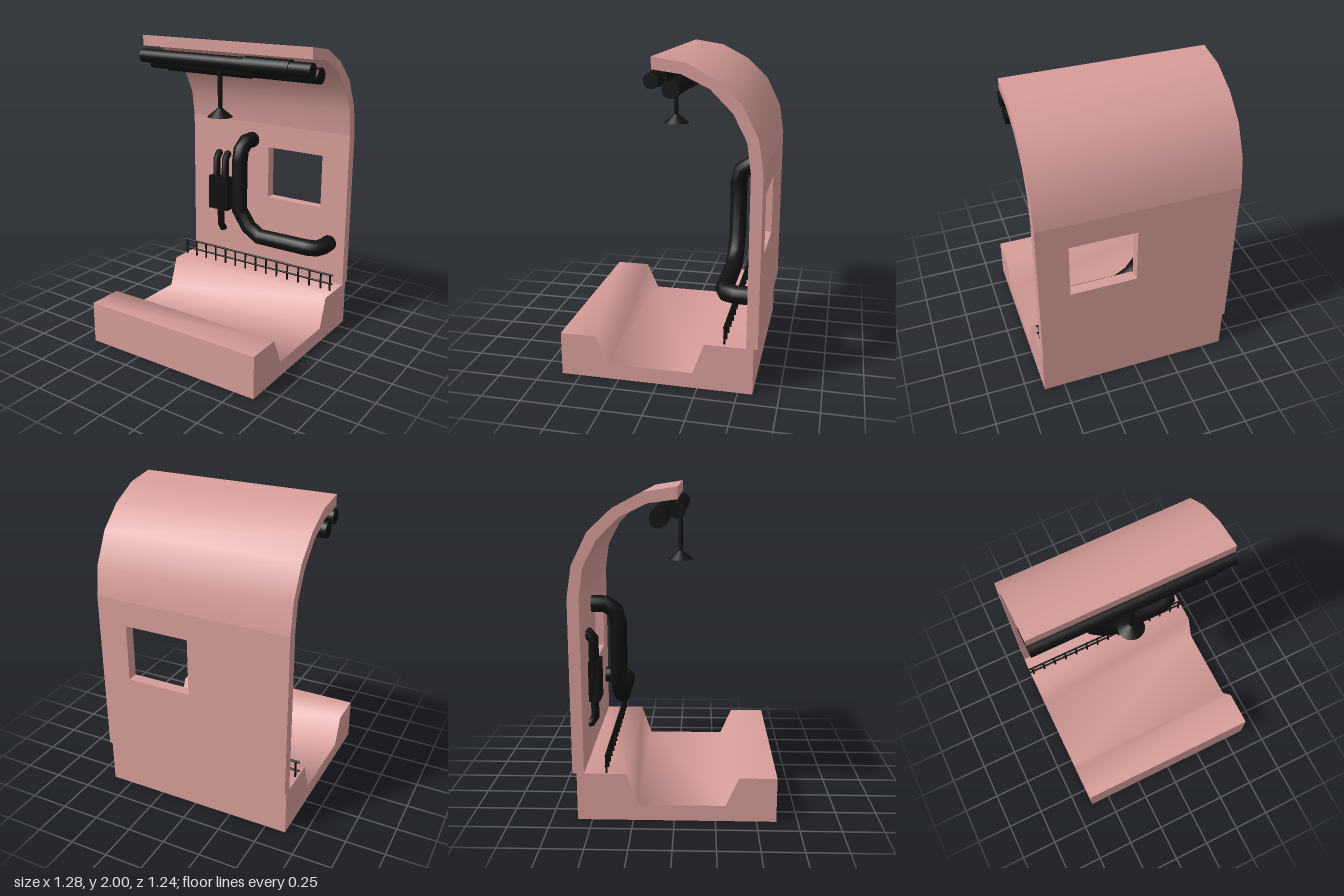
import * as THREE from 'three';
import { toCreasedNormals } from 'three/addons/utils/BufferGeometryUtils.js';

const pink = new THREE.MeshStandardMaterial({ color: 0xd69c98 });
const black = new THREE.MeshStandardMaterial({ color: 0x111111 });
const WIDTH = 1.27;

// Path with one tube ring per listed point, so bends stay faceted
class BendPath extends THREE.Curve {
  constructor(points) {
    super();
    this.points = points.map((p) => new THREE.Vector3(...p));
  }
  getPoint(t, target = new THREE.Vector3()) {
    const n = this.points.length - 1;
    const i = Math.min(Math.floor(t * n + 1e-6), n - 1);
    return target.lerpVectors(this.points[i], this.points[i + 1], t * n - i);
  }
  getPointAt(t, target) {
    return this.getPoint(t, target);
  }
  getTangentAt(t, target = new THREE.Vector3()) {
    const p = this.points, n = p.length - 1;
    const i = Math.round(t * n);
    target.set(0, 0, 0);
    if (i > 0) target.add(p[i].clone().sub(p[i - 1]).normalize());
    if (i < n) target.add(p[i + 1].clone().sub(p[i]).normalize());
    return target.normalize();
  }
}

export function createModel() {
  const model = new THREE.Group();

  function add(name, geometry, material, x = 0, y = 0, z = 0, parent = model) {
    const mesh = new THREE.Mesh(geometry, material);
    mesh.name = name;
    mesh.position.set(x, y, z);
    parent.add(mesh);
    return mesh;
  }

  // Extrude a (z, y) profile across the full width
  function acrossWidth(profile, crease) {
    const shape = new THREE.Shape(profile.map(([z, y]) => new THREE.Vector2(z, y)));
    const g = new THREE.ExtrudeGeometry(shape, { depth: WIDTH, bevelEnabled: false });
    g.translate(0, 0, -WIDTH / 2).rotateY(-Math.PI / 2);
    return toCreasedNormals(g, crease);
  }

  const tube = (name, points, radius, parent) =>
    add(name, new THREE.TubeGeometry(new BendPath(points), points.length - 1, radius, 16), black, 0, 0, 0, parent);

  const bar = (name, radius, length, x, y, z, parent) =>
    add(name, new THREE.CylinderGeometry(radius, radius, length, 24).rotateZ(Math.PI / 2), black, x, y, z, parent);

  // Floor with a sunken channel
  add('base', acrossWidth([
    [-0.59, 0], [0.62, 0], [0.62, 0.28], [0.39, 0.28], [0.31, 0.1],
    [-0.22, 0.1], [-0.29, 0.3], [-0.59, 0.3],
  ], 1.3), pink);

  // Upright wall with a window opening
  const wall = new THREE.Shape();
  wall.moveTo(-WIDTH / 2, 0.3).lineTo(WIDTH / 2, 0.3).lineTo(WIDTH / 2, 1.37).lineTo(-WIDTH / 2, 1.37).closePath();
  const hole = new THREE.Path();
  hole.moveTo(0.015, 0.835).lineTo(0.015, 1.205).lineTo(0.44, 1.205).lineTo(0.44, 0.835).closePath();
  wall.holes.push(hole);
  add('wall', new THREE.ExtrudeGeometry(wall, { depth: 0.07, bevelEnabled: false }), pink, 0, 0, -0.615);

  // Curved roof continuing the wall
  add('roof', acrossWidth([
    [-0.615, 1.37], [-0.545, 1.37], [-0.52, 1.545], [-0.44, 1.7], [-0.31, 1.83], [-0.15, 1.907], [0.02, 1.93],
    [0.02, 2], [-0.175, 1.97], [-0.35, 1.88], [-0.49, 1.75], [-0.585, 1.56],
  ], 0.6), pink);

  // Two ceiling pipes, each with a thicker sleeve
  const ceiling = new THREE.Group();
  ceiling.name = 'ceilingPipes';
  model.add(ceiling);
  bar('frontPipe', 0.045, 1.275, 0.002, 1.866, 0.02, ceiling);
  bar('frontSleeve', 0.053, 0.32, 0.335, 1.866, 0.02, ceiling);
  bar('rearPipe', 0.05, 1.275, 0.002, 1.82, -0.09, ceiling);
  bar('rearSleeve', 0.058, 0.64, -0.17, 1.82, -0.09, ceiling);

  // Hanging lamp
  const lamp = new THREE.Group();
  lamp.name = 'lamp';
  lamp.position.set(-0.013, 0, 0.022);
  model.add(lamp);
  add('lampRod', new THREE.CylinderGeometry(0.015, 0.015, 0.3, 16), black, 0, 1.71, 0, lamp);
  add('lampShade', new THREE.CylinderGeometry(0.016, 0.082, 0.055, 24), black, 0, 1.5475, 0, lamp);

  // Large bent pipe, both ends entering the wall
  tube('largePipe', [
    [-0.12, 1.245, -0.57], [-0.12, 1.245, -0.46], [-0.12, 1.2, -0.395], [-0.12, 1.12, -0.378],
    [-0.12, 0.76, -0.378], [-0.04, 0.645, -0.378], [0.05, 0.59, -0.378],
    [0.43, 0.59, -0.378], [0.495, 0.59, -0.4], [0.517, 0.59, -0.46], [0.517, 0.59, -0.57],
  ], 0.056);

  // Junction box with two upper conduits and one lower
  const junction = new THREE.Group();
  junction.name = 'junctionBox';
  model.add(junction);
  add('box', new THREE.BoxGeometry(0.165, 0.25, 0.068), black, -0.367, 0.817, -0.497, junction);
  for (const x of [-0.405, -0.33]) {
    tube('upperConduit', [[x, 1.11, -0.57], [x, 1.108, -0.535], [x, 1.07, -0.505], [x, 0.9, -0.505]], 0.027, junction);
  }
  tube('lowerConduit', [
    [-0.368, 0.75, -0.505], [-0.368, 0.57, -0.505], [-0.368, 0.53, -0.53], [-0.368, 0.525, -0.57],
  ], 0.026, junction);

  // Railing along the channel
  const railing = new THREE.Group();
  railing.name = 'railing';
  model.add(railing);
  for (const y of [0.351, 0.415]) bar('rail', 0.007, 1.265, -0.012, y, -0.41, railing);
  const post = new THREE.CylinderGeometry(0.007, 0.007, 0.12, 8);
  for (let i = 0; i < 15; i++) {
    add('post', post, black, Math.min(-0.618 + i * 0.0885, 0.603), 0.355, -0.41, railing);
  }

  return model;
}
